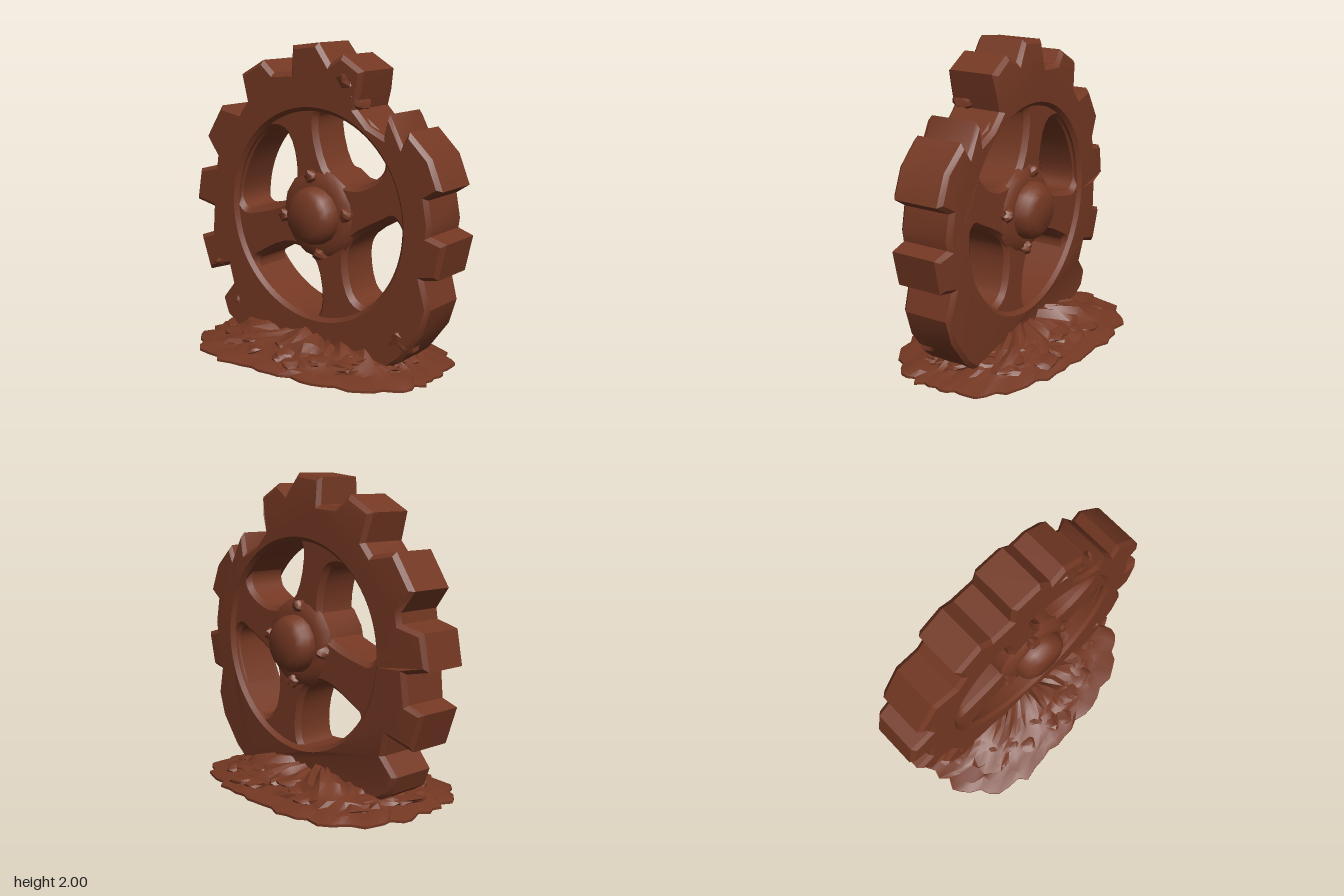
import * as THREE from 'three';
import { toCreasedNormals } from 'three/addons/utils/BufferGeometryUtils.js';

const HUB = { x: 0.06, y: 0.94 };
const RING = { x: 0.04, y: 0.93, r: 0.655 };

// Small seeded random
let seed = 7;
const rnd = () => {
  seed = (seed * 16807) % 2147483647;
  return seed / 2147483647;
};

// Worn, toothed outer edge, counter-clockwise from the lower right
const OUTLINE = [
  [0.6, 0.05], [0.71, 0.14], [0.85, 0.33], [0.9, 0.49], [0.85, 0.66],
  [0.95, 0.68], [1, 0.9], [0.89, 0.93], [0.9, 0.99], [0.87, 1.14],
  [0.965, 1.2], [0.89, 1.38], [0.735, 1.52], [0.69, 1.44], [0.595, 1.61],
  [0.56, 1.48], [0.45, 1.53], [0.36, 1.62], [0.385, 1.72], [0.41, 1.845],
  [0.255, 1.935], [0.16, 1.88], [0.07, 2], [-0.135, 1.975], [-0.145, 1.81],
  [-0.29, 1.8], [-0.38, 1.875], [-0.565, 1.775], [-0.52, 1.6], [-0.58, 1.53],
  [-0.75, 1.56], [-0.89, 1.345], [-0.8, 1.22], [-0.81, 1.155], [-0.96, 1.115],
  [-1, 0.9], [-0.845, 0.87], [-0.86, 0.69], [-0.97, 0.65], [-0.89, 0.42],
  [-0.71, 0.48], [-0.675, 0.355], [-0.77, 0.24], [-0.73, 0.13], [-0.6, 0.05],
];

// Openings between the four spokes
const OPENINGS = [
  [[0.04, 1.54], [0.09, 1.59], [0.33, 1.56], [0.43, 1.5], [0.545, 1.34], [0.53, 1.25], [0.34, 1.15], [0.13, 1.215]],
  [[-0.2, 1.42], [-0.31, 1.445], [-0.43, 1.37], [-0.55, 1.18], [-0.605, 0.97], [-0.56, 0.9], [-0.48, 0.905], [-0.18, 1.02], [-0.13, 1.18]],
  [[0.625, 0.985], [0.68, 0.915], [0.67, 0.78], [0.6, 0.59], [0.52, 0.46], [0.41, 0.41], [0.32, 0.46], [0.27, 0.685], [0.31, 0.8], [0.57, 0.96]],
  [[-0.46, 0.565], [-0.445, 0.47], [-0.28, 0.325], [-0.02, 0.24], [0.065, 0.325], [0.015, 0.635], [-0.15, 0.71], [-0.42, 0.595]],
];

const toVectors = (pts) => pts.map(([x, y]) => new THREE.Vector2(x, y));

// Rounded closed loop through a few points, kept inside the ring
function openingLoop(pts) {
  const curve = new THREE.CatmullRomCurve3(pts.map(([x, y]) => new THREE.Vector3(x, y, 0)), true);
  const centre = new THREE.Vector2(RING.x, RING.y);
  return curve.getPoints(36).slice(0, -1).map((p) =>
    new THREE.Vector2(p.x, p.y).sub(centre).clampLength(0, RING.r + 0.01).add(centre));
}

// Bevelled plate centred on z = 0
function plate(shape, depth, bevel) {
  const geo = new THREE.ExtrudeGeometry(shape, {
    depth: depth - 2 * bevel, bevelThickness: bevel, bevelSize: bevel,
    bevelOffset: -bevel, bevelSegments: 1, curveSegments: 48,
  });
  return geo.translate(0, 0, bevel - depth / 2);
}

// Move each vertex by a rule
function reshape(geo, rule) {
  const p = geo.attributes.position;
  const v = new THREE.Vector3();
  for (let i = 0; i < p.count; i++) {
    rule(v.fromBufferAttribute(p, i));
    p.setXYZ(i, v.x, v.y, v.z);
  }
  return geo;
}

// Irregular chunk of stone; vertices sharing a place move together
function rock(sx, sy, sz) {
  const k = rnd() * 20;
  const size = new THREE.Vector3(sx, sy, sz);
  const geo = reshape(new THREE.IcosahedronGeometry(1, 1), (v) => {
    const n = 1 + 0.22 * Math.sin(v.x * 3.7 + k) * Math.cos(v.y * 4.1 - k) + 0.14 * Math.sin(v.z * 5 + k);
    v.multiplyScalar(n).multiply(size);
  });
  return toCreasedNormals(geo, 0.5);
}

// Jagged, terraced rubble mound with a flat underside
function moundGeometry() {
  const SEG = 72;
  const levels = [[1, 0], [1, 0.015], [0.9, 0.045], [0.82, 0.05], [0.77, 0.08], [0.66, 0.1], [0.6, 0.14], [0.45, 0.16], [0.3, 0.17]];
  const pos = [0, 0, 0];
  const edge = Array.from({ length: SEG }, (_, i) => 0.92 + 0.05 * rnd() + 0.05 * ((i % 4) / 3));
  levels.forEach(([t, h], j) => {
    for (let i = 0; i < SEG; i++) {
      const a = (i / SEG) * Math.PI * 2;
      const c = Math.cos(a), s = Math.sin(a);
      const r = 1 / Math.pow(Math.abs(c) ** 2.9 + Math.abs(s) ** 2.9, 1 / 2.9);
      const rough = j < 2 ? edge[i] : 0.92 + 0.09 * rnd();
      const lift = j < 2 ? 1 : 0.8 + 0.3 * rnd() + 0.1 * Math.sin(a * 5);
      pos.push(0.875 * c * r * t * rough, h * lift, (0.585 - 0.09 * c) * s * r * t * rough);
    }
  });
  const top = pos.length / 3;
  pos.push(0, 0.16, 0);
  const idx = [];
  const at = (j, i) => 1 + j * SEG + (i % SEG);
  for (let i = 0; i < SEG; i++) {
    idx.push(0, at(0, i), at(0, i + 1));
    for (let j = 0; j < levels.length - 1; j++) {
      idx.push(at(j, i), at(j + 1, i), at(j, i + 1), at(j, i + 1), at(j + 1, i), at(j + 1, i + 1));
    }
    idx.push(at(levels.length - 1, i), top, at(levels.length - 1, i + 1));
  }
  const geo = new THREE.BufferGeometry();
  geo.setAttribute('position', new THREE.Float32BufferAttribute(pos, 3));
  geo.setIndex(idx);
  return toCreasedNormals(geo, 0.6);
}

export function createModel() {
  const model = new THREE.Group();
  model.name = 'ruinedGearWheel';
  const rust = new THREE.MeshStandardMaterial({ color: 0x743823 });
  rust.name = 'rustBrown';

  const add = (name, geo, x = 0, y = 0, z = 0, parent = model) => {
    const mesh = new THREE.Mesh(geo, rust);
    mesh.name = name;
    mesh.position.set(x, y, z);
    parent.add(mesh);
    return mesh;
  };

  // Toothed rim, thinner at the back of the teeth
  const rimShape = new THREE.Shape(toVectors(OUTLINE));
  rimShape.holes.push(new THREE.Path().absarc(RING.x, RING.y, RING.r, 0, Math.PI * 2, true));
  const rim = reshape(plate(rimShape, 0.36, 0.025), (v) => {
    const r = Math.hypot(v.x, v.y - 1);
    if (v.z < 0) v.z *= 1 - 0.14 * THREE.MathUtils.smoothstep(r, 0.8, 1);
  });
  add('toothedRim', toCreasedNormals(rim, 0.5));

  // Four spokes, cut from a recessed disc that is let into the rim
  const web = new THREE.Shape().absarc(RING.x, RING.y, 0.74, 0, Math.PI * 2);
  OPENINGS.forEach((pts) => web.holes.push(new THREE.Path(openingLoop(pts))));
  add('spokes', toCreasedNormals(plate(web, 0.31, 0.03), 0.6));

  // Hub with flange and domed caps on both sides
  const half = [[0, 0.295], [0.12, 0.292], [0.16, 0.265], [0.18, 0.23], [0.185, 0.185], [0.24, 0.18], [0.285, 0.14]];
  const profile = [...half.map(([r, z]) => [r, -z]), ...half.slice().reverse()];
  const hub = new THREE.LatheGeometry(toVectors(profile), 16).rotateX(Math.PI / 2);
  add('hub', toCreasedNormals(hub, 0.75), HUB.x, HUB.y, 0);

  // Worn bolts around the hub, front and back
  const bolts = new THREE.Group();
  bolts.name = 'hubBolts';
  model.add(bolts);
  for (const side of [1, -1]) {
    for (let i = 0; i < 4; i++) {
      const a = 0.13 + (i * Math.PI) / 2;
      add('bolt', rock(0.042, 0.04, 0.045), HUB.x + 0.245 * Math.cos(a), HUB.y + 0.245 * Math.sin(a), side * 0.175, bolts);
    }
  }

  // Broken chunks on the damaged teeth
  const chunks = new THREE.Group();
  chunks.name = 'brokenChunks';
  model.add(chunks);
  [
    [0.27, 1.78, 0.11, 0.1, 0.07, 0.08], [0.33, 1.66, 0.1, 0.06, 0.06, 0.08],
    [0.6, 1.47, 0.08, 0.06, 0.07, 0.09], [0.82, 0.96, 0.1, 0.08, 0.05, 0.08],
    [-0.8, 0.49, 0.08, 0.08, 0.05, 0.1], [0.68, 0.25, 0.11, 0.1, 0.09, 0.08],
    [-0.62, 0.25, 0.1, 0.09, 0.08, 0.09],
  ].forEach(([x, y, z, a, b, c]) => add('chunk', rock(a, b, c), x, y, z, chunks));

  // Ground mound and scattered slabs
  add('rubbleMound', moundGeometry());
  const slabs = new THREE.Group();
  slabs.name = 'rubbleSlabs';
  model.add(slabs);
  for (let i = 0; i < 36; i++) {
    const a = (i / 36) * Math.PI * 2 + rnd() * 0.1;
    const t = 0.52 + 0.3 * rnd();
    const size = 0.05 + 0.05 * rnd();
    const slab = add('slab', rock(size * 1.3, 0.025, size), 0.85 * t * Math.cos(a), 0.2 - 0.18 * t, 0.58 * t * Math.sin(a), slabs);
    slab.rotation.y = rnd() * 3;
  }
  return model;
}
